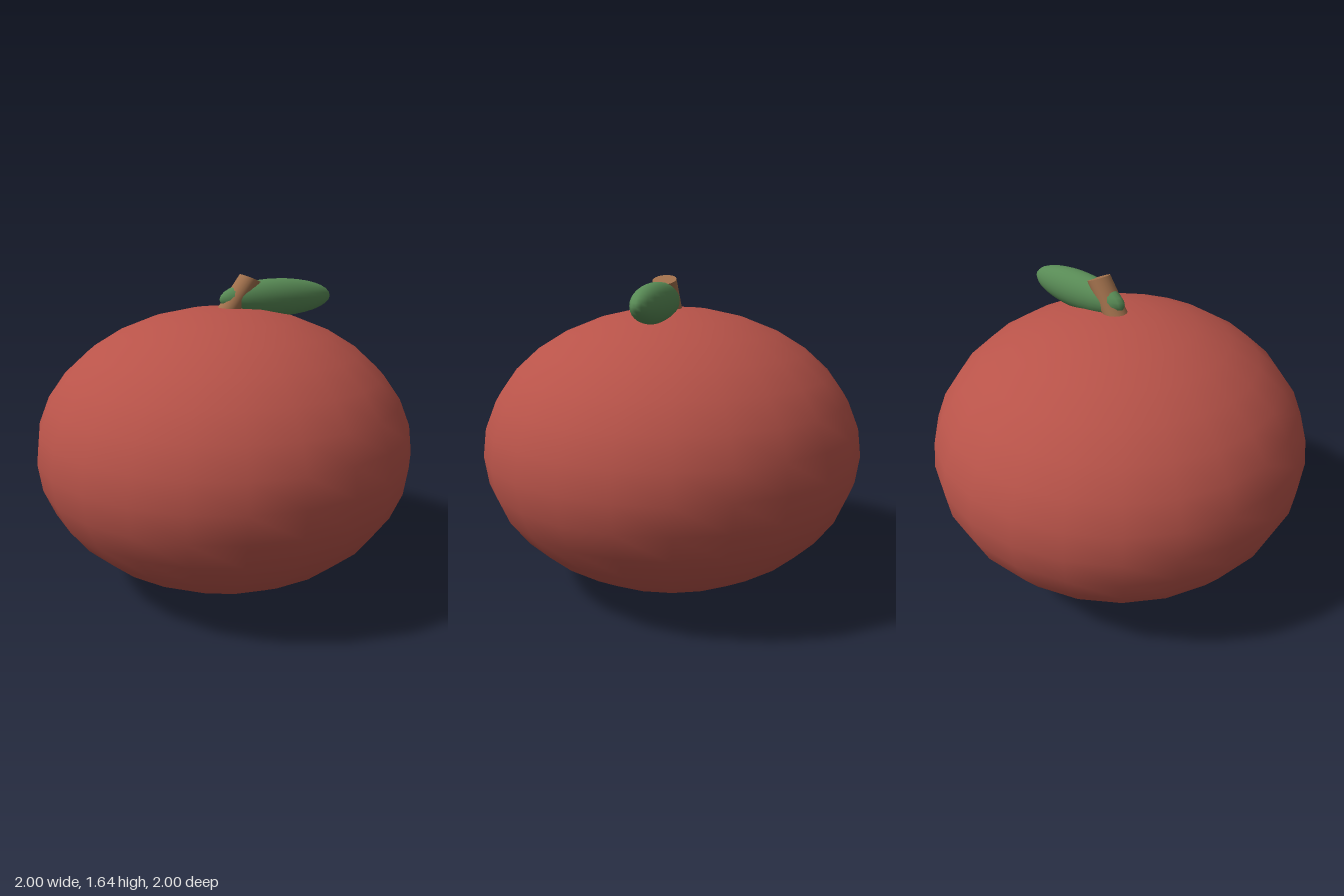
import * as THREE from 'three';

const material = (name, color) => {
  const m = new THREE.MeshStandardMaterial({ color });
  m.name = name;
  return m;
};

export function createModel() {
  const red = material('fruit red', 0xb85349);
  const green = material('leaf green', 0x588a55);
  const brown = material('stem brown', 0xa0704c);

  const model = new THREE.Group();
  model.name = 'fruit';
  const squash = 0.74; // the whole fruit is flattened in height

  const add = (name, geometry, mat) => {
    const mesh = new THREE.Mesh(geometry, mat);
    mesh.name = name;
    model.add(mesh);
    return mesh;
  };

  // Squat round body
  const body = new THREE.SphereGeometry(1, 24, 16);
  body.scale(1, squash, 1).translate(0, 0.74, 0);
  add('body', body, red);

  // Plump leaf lying along the top
  const leaf = new THREE.SphereGeometry(1, 24, 16);
  leaf.scale(0.322, 0.099, 0.085).translate(0.298, 1.519, 0);
  add('leaf', leaf, green);

  // Leaning stem, with its top at the origin before it is tilted and flattened
  const stem = new THREE.CylinderGeometry(0.061, 0.061, 0.27, 24);
  stem.translate(0, -0.135, 0).rotateZ(-0.5).scale(1, squash, 1).translate(0.147, 1.623, 0);
  add('stem', stem, brown);

  return model;
}
